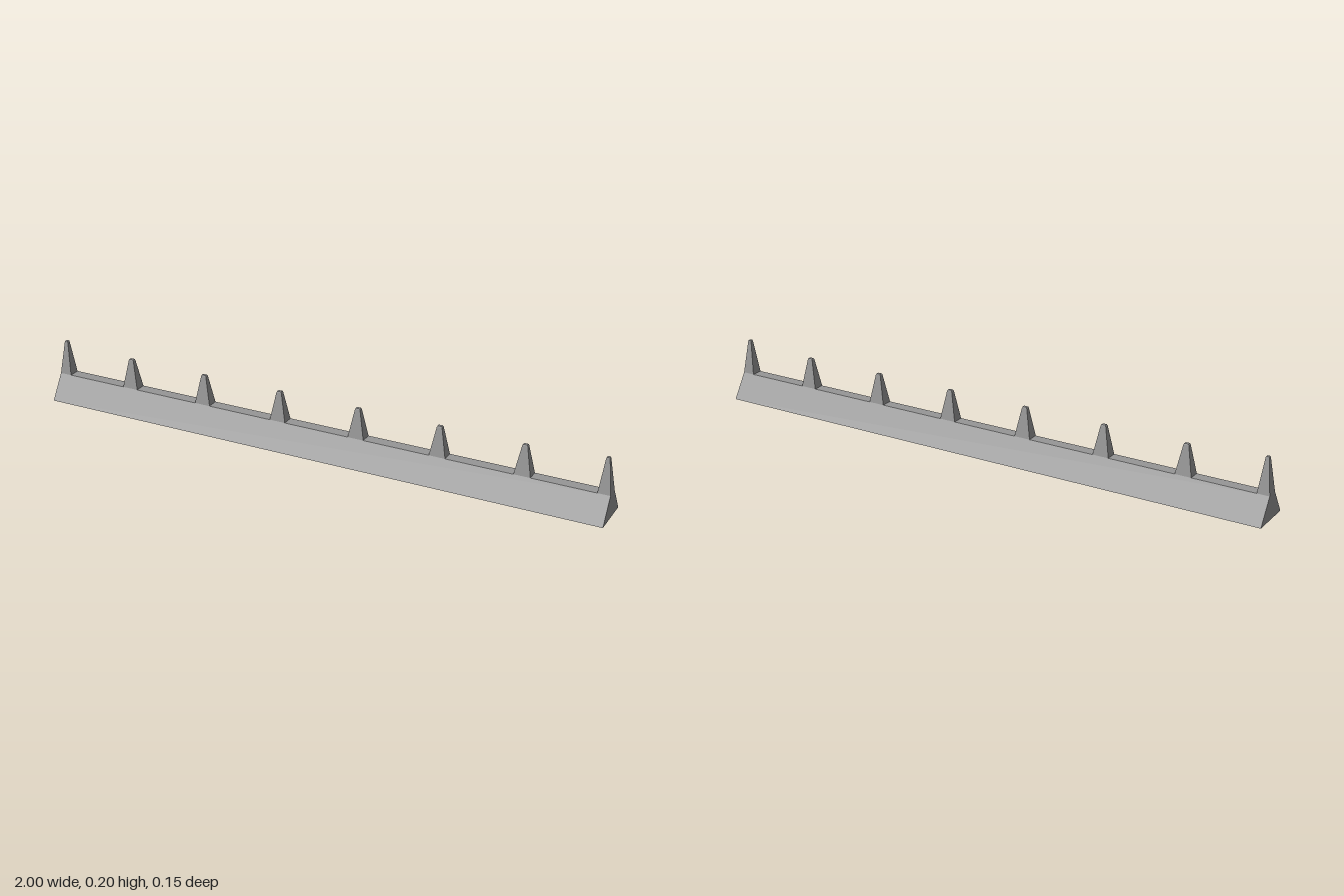
import * as THREE from 'three';

const material = new THREE.MeshStandardMaterial({ color: 0x979797, flatShading: true });

// Stacks rectangular rings [y, half width, half depth] into a faceted block
function taperedBlock(name, rings) {
  const steps = rings.length - 1;
  const geometry = new THREE.BoxGeometry(2, steps, 2, 1, steps, 1);
  const pos = geometry.attributes.position;
  for (let i = 0; i < pos.count; i++) {
    const [y, w, d] = rings[Math.round(pos.getY(i) + steps / 2)];
    pos.setXYZ(i, pos.getX(i) * w, y, pos.getZ(i) * d);
  }
  const flat = geometry.toNonIndexed();
  flat.computeVertexNormals();
  const mesh = new THREE.Mesh(flat, material);
  mesh.name = name;
  return mesh;
}

export function createModel() {
  const group = new THREE.Group();
  group.name = 'spikedRail';

  // Long rail, wide at the foot
  const railTop = 0.084;
  group.add(taperedBlock('rail', [[0, 1, 0.074], [railTop, 1, 0.02]]));

  // Evenly spaced spikes with slightly blunted tips
  for (let i = 0; i < 6; i++) {
    const spike = taperedBlock('spike', [
      [railTop, 0.028, 0.02], [0.182, 0.009, 0.0065], [0.186, 0.007, 0.005],
    ]);
    spike.position.x = (i - 2.5) * 2 / 7;
    group.add(spike);
  }

  // Taller, slimmer spike at each end
  for (const side of [-1, 1]) {
    const spike = taperedBlock('endSpike', [
      [railTop, 0.021, 0.02], [0.199, 0.0062, 0.0055], [0.203, 0.0045, 0.005],
    ]);
    spike.position.x = side * 0.979;
    group.add(spike);
  }
  return group;
}
